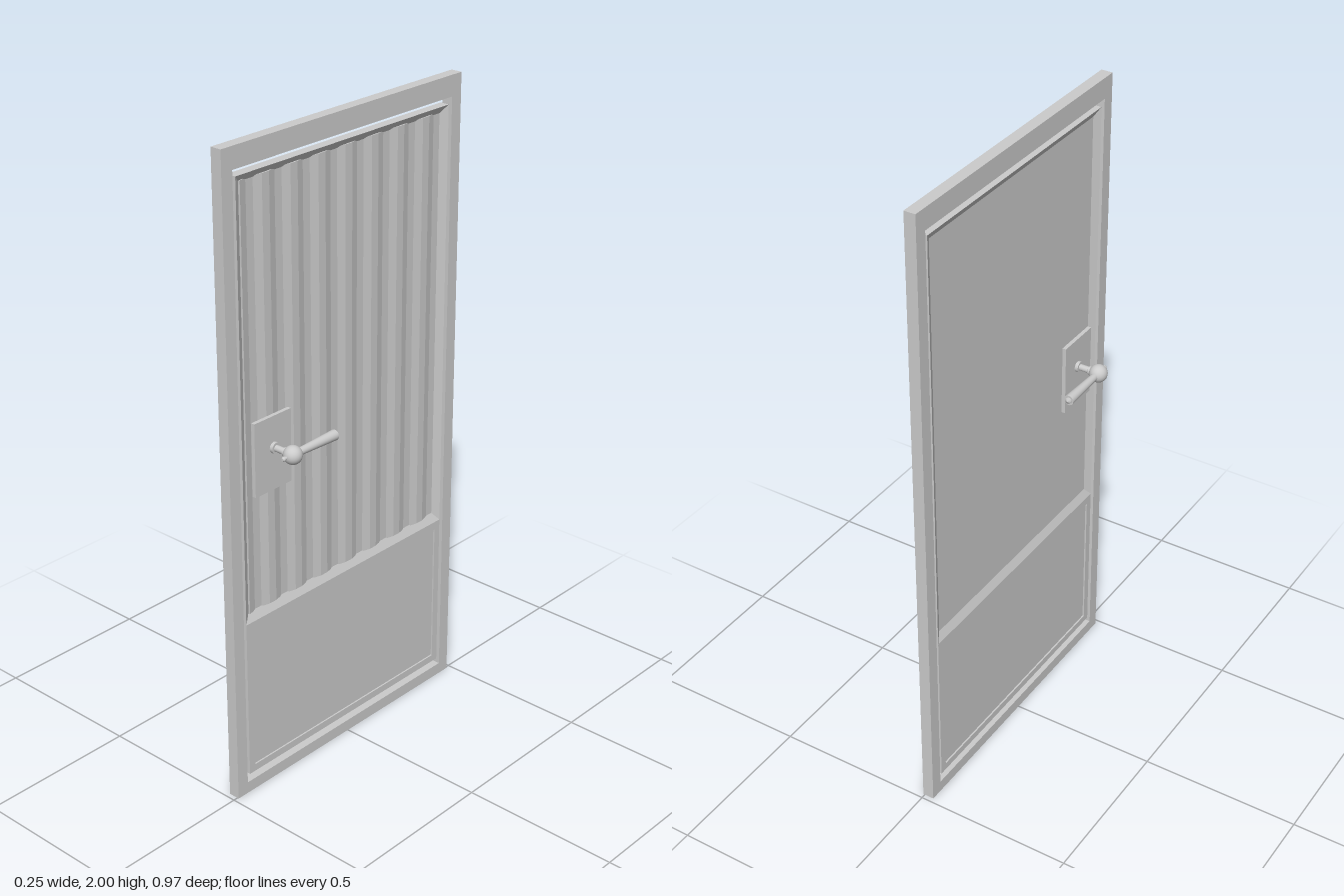
import * as THREE from 'three';

const material = new THREE.MeshStandardMaterial({ color: 0xcccccc });

function add(parent, name, geometry, x = 0, y = 0, z = 0) {
  const mesh = new THREE.Mesh(geometry, material);
  mesh.name = name;
  mesh.position.set(x, y, z);
  parent.add(mesh);
  return mesh;
}

const rect = (halfZ, y0, y1) => [[y0, -halfZ], [y1, -halfZ], [y1, halfZ], [y0, halfZ]];

// Chain of rectangles [corners, x] joined by mitred strips; the last one is filled.
function steppedFace(levels, side, fill) {
  const pos = [];
  const quad = (a, b, c, d) => {
    const tri = side > 0 ? [a, b, c, a, c, d] : [a, c, b, a, d, c];
    tri.forEach((p) => pos.push(...p));
  };
  const rings = levels.map(([r, x]) => r.map(([y, z]) => [x, y, z]));
  for (let i = 0; i + 1 < rings.length; i++) {
    for (let k = 0; k < 4; k++) {
      const n = (k + 1) % 4;
      quad(rings[i][k], rings[i][n], rings[i + 1][n], rings[i + 1][k]);
    }
  }
  if (fill) quad(...rings[rings.length - 1]);
  const g = new THREE.BufferGeometry();
  g.setAttribute('position', new THREE.Float32BufferAttribute(pos, 3));
  g.computeVertexNormals();
  return g;
}

// Outer frame with a rectangular opening
function buildFrame(parent) {
  const shape = new THREE.Shape();
  shape.moveTo(-0.485, 0).lineTo(0.485, 0).lineTo(0.485, 2).lineTo(-0.485, 2).closePath();
  const hole = new THREE.Path();
  hole.moveTo(-0.445, 0.037).lineTo(-0.445, 1.936).lineTo(0.445, 1.936).lineTo(0.445, 0.037).closePath();
  shape.holes.push(hole);
  const g = new THREE.ExtrudeGeometry(shape, { depth: 0.036, bevelEnabled: false });
  g.rotateY(Math.PI / 2);
  add(parent, 'doorFrame', g, -0.031);
}

// Door leaf: bevelled upper recess and inset lower panel on both faces
function buildLeaf(parent) {
  const leaf = new THREE.Group();
  leaf.name = 'doorLeaf';
  parent.add(leaf);
  const front = 0.003, back = -0.028;
  const whole = rect(0.433, 0.06, 1.915);
  add(leaf, 'leafEdge', steppedFace([[whole, back], [whole, front]], 1, false));

  for (const side of [1, -1]) {
    const face = side > 0 ? front : back;
    const label = side > 0 ? 'front' : 'back';
    add(leaf, label + 'UpperBevel', steppedFace([
      [rect(0.433, 0.572, 1.915), face],
      [rect(0.409, 0.6, 1.892), side > 0 ? -0.011 : -0.016],
    ], side, side < 0));
    const inset = rect(0.41, 0.083, 0.546);
    add(leaf, label + 'LowerPanel', steppedFace([
      [rect(0.433, 0.06, 0.572), face],
      [inset, face],
      [inset, face - side * 0.005],
    ], side, true));
  }

  // Ribbed boarding in the upper recess: trapezoid ribs run vertically
  const ribs = new THREE.Shape();
  const step = 0.82 / 30;
  ribs.moveTo(-0.41, -0.0155);
  ribs.lineTo(0.41, -0.0155);
  for (let i = 30; i >= 0; i--) ribs.lineTo(-0.41 + i * step, i % 4 < 2 ? -0.011 : -0.004);
  ribs.closePath();
  const g = new THREE.ExtrudeGeometry(ribs, { depth: 1.3, bevelEnabled: false });
  g.applyMatrix4(new THREE.Matrix4().makeBasis(
    new THREE.Vector3(0, 0, 1), new THREE.Vector3(1, 0, 0), new THREE.Vector3(0, 1, 0)));
  add(leaf, 'ribbedBoards', g, 0, 0.597, 0);
}

const lathe = (points) =>
  new THREE.LatheGeometry(points.map(([r, h]) => new THREE.Vector2(r, h)), 24);

// Straight-edged turned piece: each profile segment is its own band
function turned(parent, name, points) {
  const group = new THREE.Group();
  group.name = name;
  for (let i = 0; i + 1 < points.length; i++) add(group, name + 'Band', lathe([points[i], points[i + 1]]));
  parent.add(group);
  return group;
}

// Lever handle with plate, one per face
function buildHandle(parent, side) {
  const handle = new THREE.Group();
  handle.name = side > 0 ? 'frontHandle' : 'backHandle';
  handle.position.set(-0.002, 1.11, 0.33);
  parent.add(handle);

  add(handle, 'plate', new THREE.BoxGeometry(0.012, 0.226, 0.145), side * 0.021, -0.017, 0.003);
  const neck = turned(handle, 'neck', [
    [0, 0.02], [0.017, 0.02], [0.017, 0.037], [0.01, 0.037], [0.01, 0.066],
    [0.013, 0.068], [0.013, 0.075], [0.01, 0.085],
  ]);
  neck.rotation.z = -side * Math.PI / 2;
  add(handle, 'ball', new THREE.SphereGeometry(0.028, 32, 20), side * 0.099);

  const lever = turned(handle, 'lever', [
    [0.011, 0.02], [0.016, 0.165], [0.016, 0.172], [0.01, 0.172], [0.01, 0.176], [0, 0.181],
  ]);
  lever.position.x = side * 0.099;
  lever.rotation.x = -Math.PI / 2;
  const finial = turned(handle, 'finial', [
    [0.005, 0.02], [0.005, 0.031], [0.007, 0.033], [0.007, 0.038], [0.004, 0.042], [0, 0.042],
  ]);
  finial.position.x = side * 0.099;
  finial.rotation.x = Math.PI / 2;
}

export function createModel() {
  const model = new THREE.Group();
  model.name = 'door';
  buildFrame(model);
  buildLeaf(model);
  buildHandle(model, 1);
  buildHandle(model, -1);
  // Round lock body behind the plates
  const lock = add(model, 'lockBody', new THREE.CylinderGeometry(0.045, 0.045, 0.034, 32), -0.004, 1.11, 0.33);
  lock.rotation.z = Math.PI / 2;
  return model;
}
